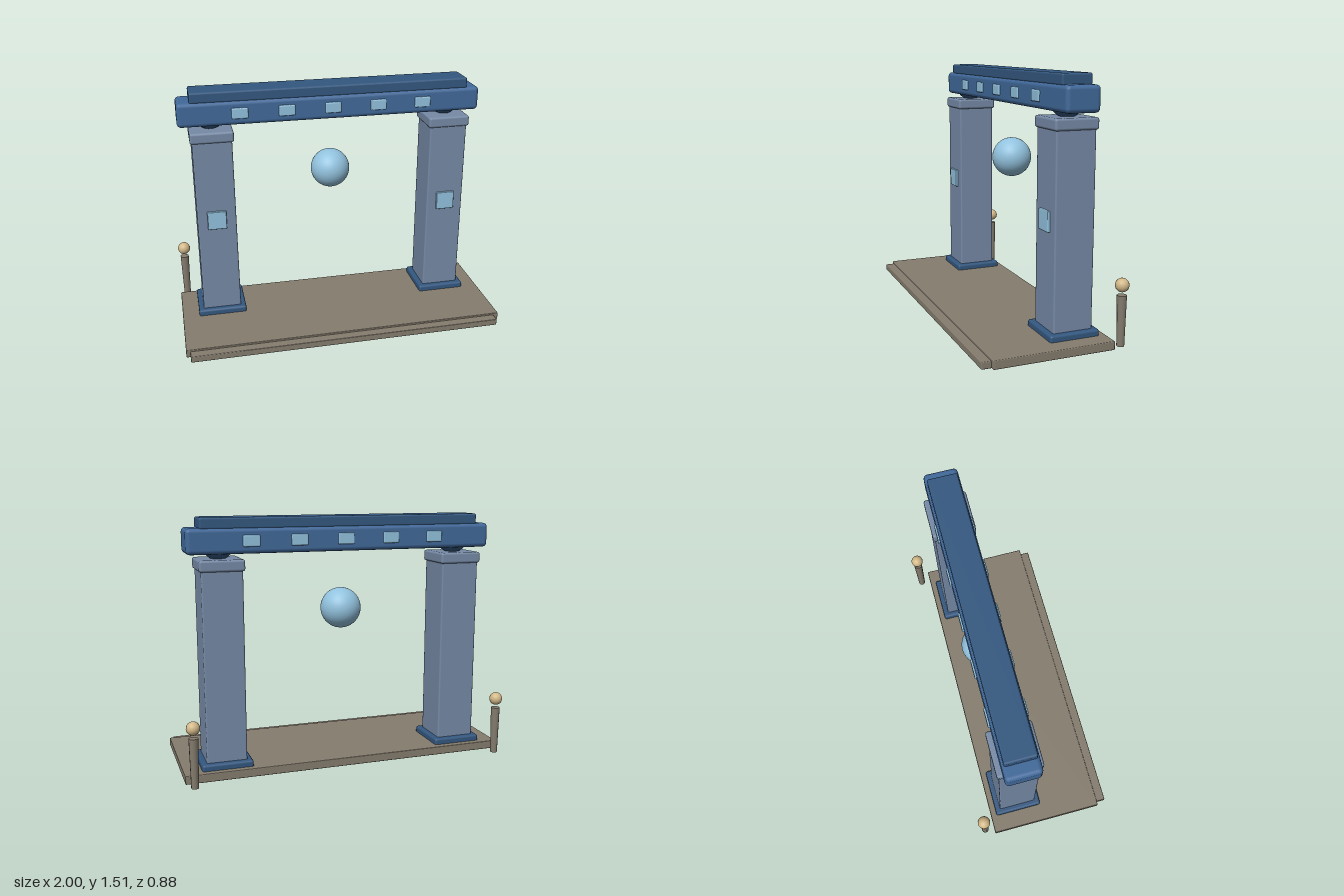
import * as THREE from 'three';
import { RoundedBoxGeometry } from 'three/addons/geometries/RoundedBoxGeometry.js';

const paint = (color) => new THREE.MeshStandardMaterial({ color });

export function createModel() {
  const model = new THREE.Group();
  const stone = paint(0x857c6e);
  const slate = paint(0x768aa6);
  const blue = paint(0x41699a);
  const darkBlue = paint(0x345880);
  const crystal = paint(0x92c2de);
  const glow = paint(0xd2b888);

  const add = (name, geometry, material, x, y, z, parent = model) => {
    const mesh = new THREE.Mesh(geometry, material);
    mesh.name = name;
    mesh.position.set(x, y, z);
    parent.add(mesh);
    return mesh;
  };

  // Bevelled box given by its ranges in y and z, centred on x
  const block = (name, material, x, width, [y0, y1], [z0, z1], bevel, parent) =>
    add(name, new RoundedBoxGeometry(width, y1 - y0, z1 - z0, 2, bevel), material,
      x, (y0 + y1) / 2, (z0 + z1) / 2, parent);

  // Platform with a lower step along the front
  block('platform', stone, 0, 2, [0.006, 0.057], [-0.34, 0.38], 0.005);
  block('frontStep', stone, -0.003, 1.945, [0.004, 0.045], [0.28, 0.437], 0.005);

  for (const side of [-1, 1]) {
    // Pillar with plinth, cap, bearing and front crystal panel
    const pillar = new THREE.Group();
    pillar.name = side > 0 ? 'leftPillar' : 'rightPillar';
    pillar.position.x = side * 0.742;
    model.add(pillar);
    block('plinth', darkBlue, 0, 0.304, [0, 0.094], [-0.302, 0.002], 0.014, pillar);
    block('shaft', slate, 0, 0.24, [0.05, 1.22], [-0.27, -0.03], 0.01, pillar);
    block('cap', slate, 0, 0.263, [1.21, 1.277], [-0.282, -0.018], 0.014, pillar);
    add('bearing', new THREE.SphereGeometry(0.095, 20, 14), darkBlue, 0, 1.36, -0.15, pillar);
    block('crystalPanel', crystal, 0, 0.117, [0.652, 0.769], [-0.045, -0.014], 0.005, pillar);

    // Lamp post behind the platform
    const lamp = new THREE.Group();
    lamp.name = side > 0 ? 'leftLamp' : 'rightLamp';
    lamp.position.set(side * 0.955, 0, -0.4);
    model.add(lamp);
    add('lampPost', new THREE.CylinderGeometry(0.028, 0.022, 0.295, 10), stone, 0, 0.153, 0, lamp);
    add('lampGlobe', new THREE.SphereGeometry(0.04, 16, 12), glow, 0, 0.358, 0, lamp);
  }

  // Lintel and its top slab
  block('lintel', blue, 0, 1.876, [1.305, 1.453], [-0.253, -0.047], 0.025);
  block('topSlab', darkBlue, 0, 1.72, [1.445, 1.512], [-0.241, -0.059], 0.012);

  // Crystals set into both faces of the lintel
  for (let i = -2; i <= 2; i++) {
    block('lintelCrystal', crystal, i * 0.2835, 0.1, [1.346, 1.412], [-0.263, -0.037], 0.008);
  }

  // Floating orb in the opening
  add('orb', new THREE.SphereGeometry(0.123, 32, 24), crystal, 0, 0.954, -0.15);

  return model;
}
